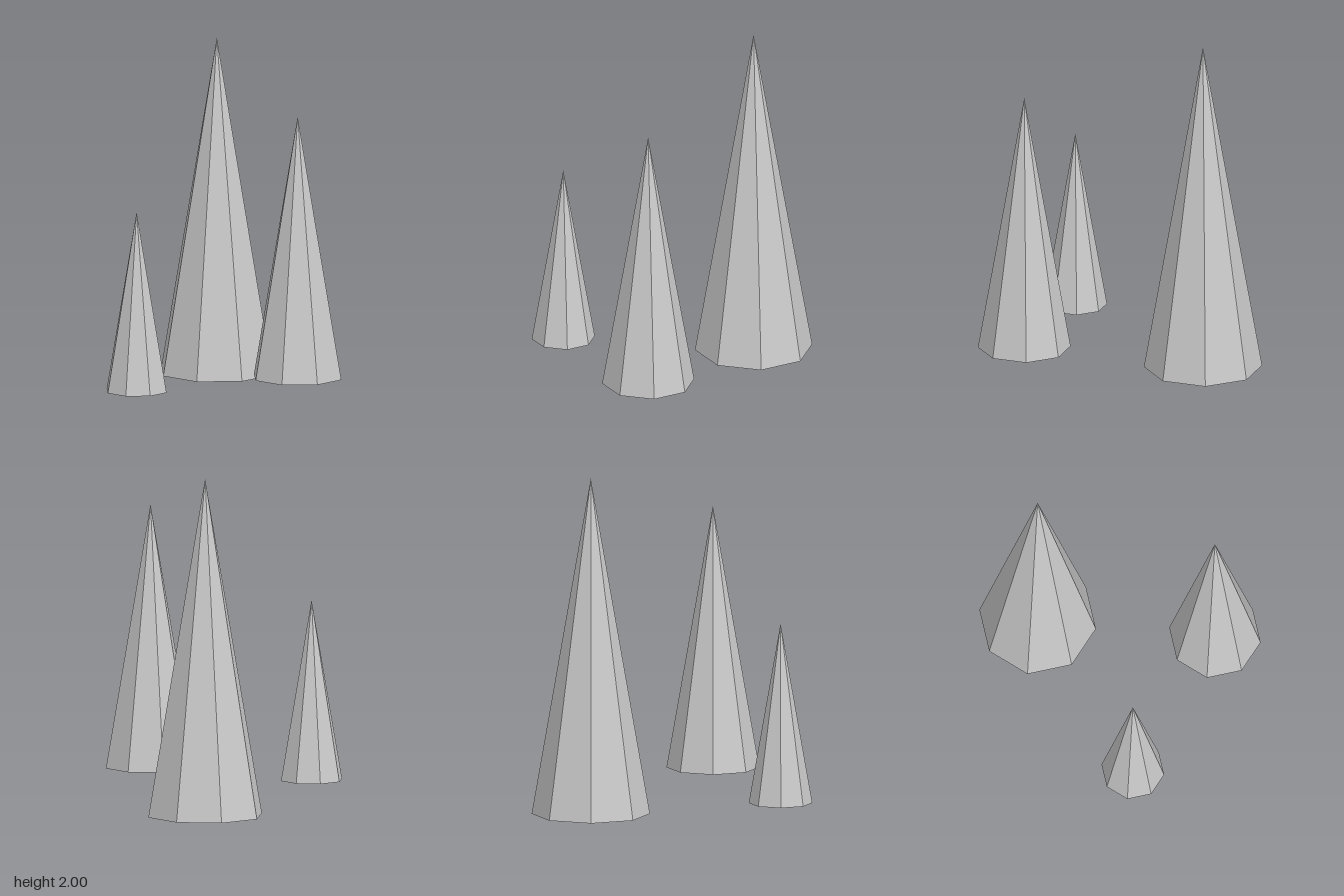
import * as THREE from 'three';

export function createModel() {
  const group = new THREE.Group();
  const material = new THREE.MeshStandardMaterial({ color: 0xcccccc, flatShading: true });

  // Eight-sided spike with a closed base, placed by the centre of that base
  function addSpike(name, radius, height, x, y, z) {
    const geometry = new THREE.ConeGeometry(radius, height, 8);
    geometry.translate(0, height / 2, 0);
    const spike = new THREE.Mesh(geometry, material);
    spike.name = name;
    spike.position.set(x, y, z);
    group.add(spike);
  }

  addSpike('largeSpike', 0.348, 2, -0.348, 0, -0.48);
  addSpike('mediumSpike', 0.273, 1.56, 0.418, 0.148, 0.244);
  addSpike('smallSpike', 0.187, 1.07, -0.448, 0.08, 0.636);

  return group;
}
